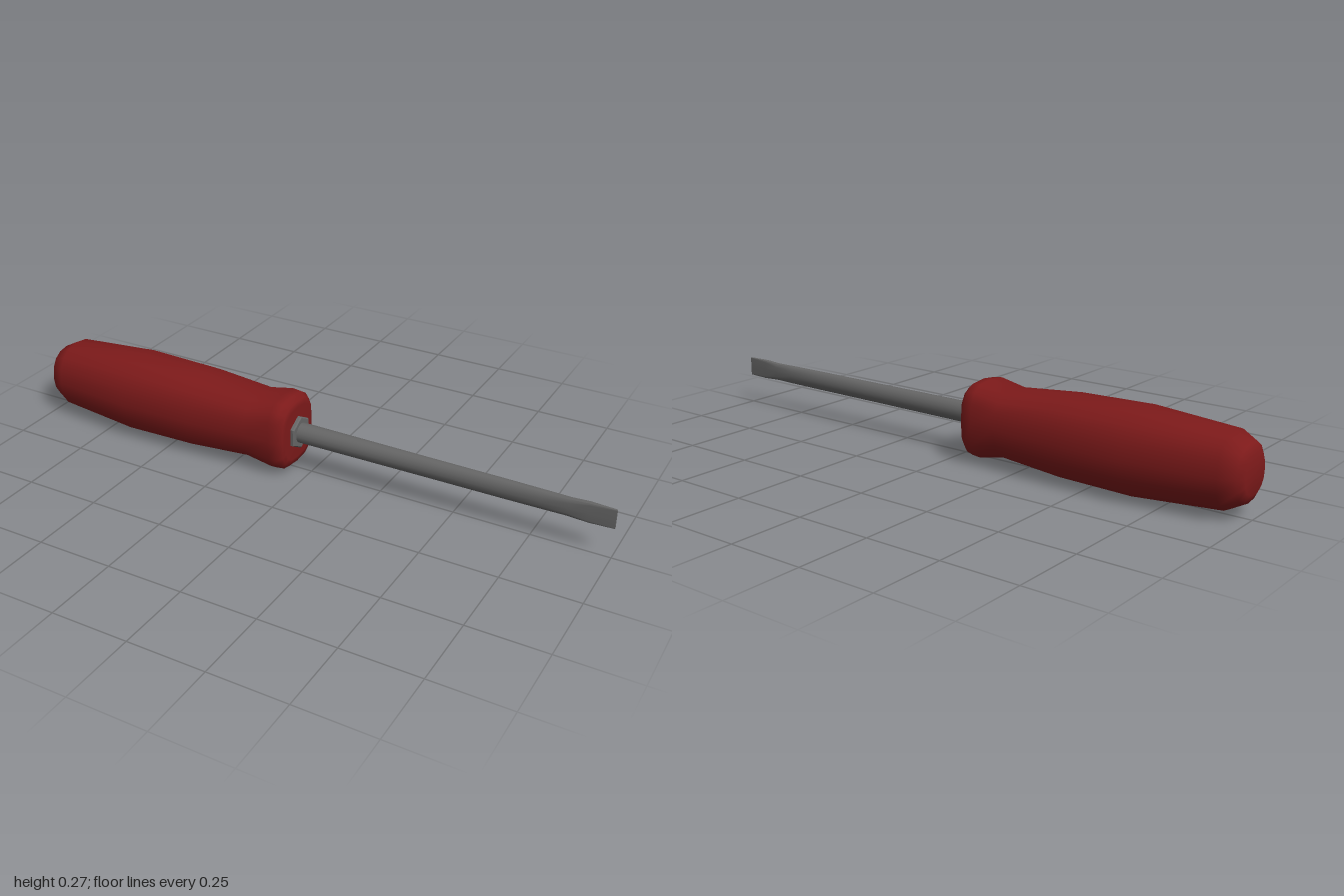
import * as THREE from 'three';
import { toCreasedNormals } from 'three/addons/utils/BufferGeometryUtils.js';

const AXIS_Y = 0.135;
const SIDES = 16;

// Signed power of a sine or cosine, for rounded-square sections
const power = (v, n) => (Math.abs(v) < 1e-6 ? 0 : Math.sign(v) * Math.abs(v) ** (2 / n));

// Closed loft along x; each section is [x, half height, half depth, squareness]
function loft(sections, crease) {
  const positions = [];
  const index = [];
  for (const [x, hy, hz, n] of sections) {
    for (let j = 0; j < SIDES; j++) {
      const t = (j / SIDES) * Math.PI * 2;
      positions.push(x, hy * power(Math.cos(t), n), hz * power(Math.sin(t), n));
    }
  }
  const last = sections.length - 1;
  const startCentre = positions.length / 3;
  positions.push(sections[0][0], 0, 0, sections[last][0], 0, 0);
  for (let j = 0; j < SIDES; j++) {
    const k = (j + 1) % SIDES;
    for (let i = 0; i < last; i++) {
      const a = i * SIDES, b = a + SIDES;
      index.push(a + j, a + k, b + j, a + k, b + k, b + j);
    }
    index.push(startCentre, k, j, startCentre + 1, last * SIDES + j, last * SIDES + k);
  }
  const geometry = new THREE.BufferGeometry();
  geometry.setAttribute('position', new THREE.Float32BufferAttribute(positions, 3));
  geometry.setIndex(index);
  geometry.computeVertexNormals();
  return crease ? toCreasedNormals(geometry, crease) : geometry;
}

export function createModel() {
  const group = new THREE.Group();
  const red = new THREE.MeshStandardMaterial({ color: 0x7d1a1a });
  const steel = new THREE.MeshStandardMaterial({ color: 0x666666 });

  const add = (name, geometry, material) => {
    const mesh = new THREE.Mesh(geometry, material);
    mesh.name = name;
    mesh.position.y = AXIS_Y;
    group.add(mesh);
    return mesh;
  };

  // Grip: rounded butt, swollen middle, waist and squarer front flange
  add('handle', loft([
    [-1.0, 0.06, 0.06, 2.3],
    [-0.985, 0.088, 0.084, 2.3],
    [-0.935, 0.115, 0.106, 2.3],
    [-0.65, 0.134, 0.135, 2.3],
    [-0.4, 0.128, 0.128, 2.4],
    [-0.19, 0.108, 0.114, 2.6],
    [-0.1, 0.125, 0.109, 3],
    [-0.07, 0.122, 0.107, 3],
    [-0.053, 0.108, 0.095, 3],
    [-0.05, 0.09, 0.08, 3],
  ]), red);

  // Hexagonal collar with a small chamfer, corners up and down
  const hex = new THREE.LatheGeometry([
    [0, -0.012], [0.057, -0.012], [0.057, 0.009], [0.053, 0.013], [0, 0.013],
  ].map(([r, y]) => new THREE.Vector2(r, y)), 6);
  hex.rotateY(Math.PI / 2).rotateZ(-Math.PI / 2);
  add('collar', toCreasedNormals(hex, 0.4), steel).position.x = -0.05;

  // Round shaft thinning into a flat, chisel-shaped tip
  add('shaftAndBlade', loft([
    [-0.06, 0.034, 0.034, 2],
    [0.4, 0.033, 0.026, 2],
    [0.65, 0.033, 0.022, 2],
    [0.78, 0.032, 0.018, 2.2],
    [0.86, 0.030, 0.013, 3.5],
    [0.92, 0.033, 0.009, 8],
    [1.0, 0.032, 0.003, 20],
  ], 0.6), steel);

  return group;
}
